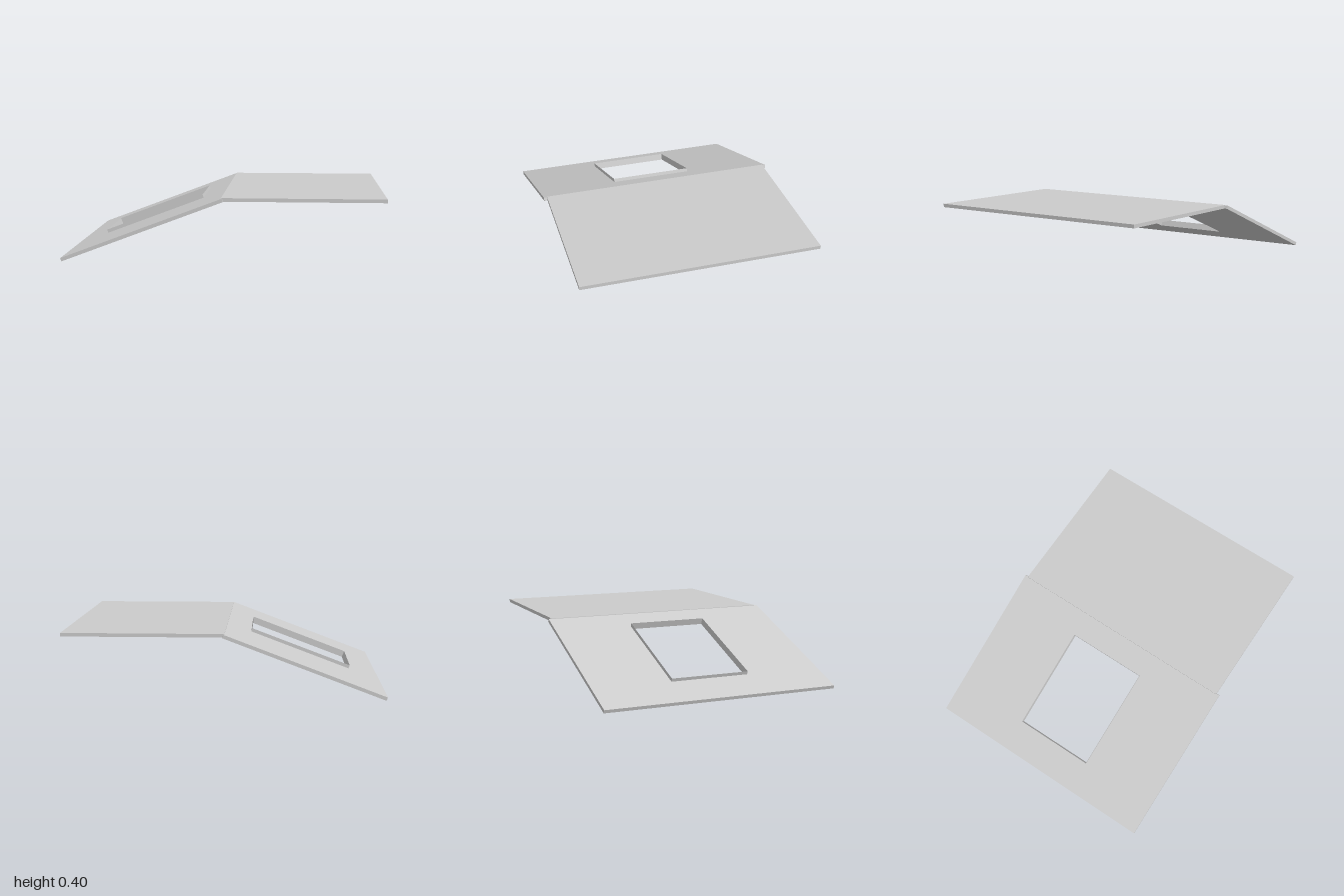
import * as THREE from 'three';

export function createModel() {
  const model = new THREE.Group();
  const mat = new THREE.MeshStandardMaterial({ color: 0xcccccc, flatShading: true });
  const thinMat = new THREE.MeshStandardMaterial({ color: 0xcccccc, flatShading: true, side: THREE.DoubleSide });
  const thick = 0.022;
  const add = (parent, name, geometry, material, x, y, z) => {
    const mesh = new THREE.Mesh(geometry, material);
    mesh.name = name;
    mesh.position.set(x, y, z);
    parent.add(mesh);
    return mesh;
  };

  // Level panel
  add(model, 'flatPanel', new THREE.BoxGeometry(1.005, thick, 1.504), mat, 0.4975, 0.389, 0);

  // Sloped panel, built flat from its lower edge and then tilted
  const slope = new THREE.Group();
  slope.name = 'slopedSection';
  slope.position.set(-0.992, 0, 0);
  slope.rotation.z = Math.atan(0.378);
  model.add(slope);

  const length = 1.069, halfWidth = 0.773;
  const s0 = 0.217, s1 = 0.9, halfHole = 0.26;
  const rect = (P, a, b, h) => {
    const p = new P();
    p.moveTo(a, -h); p.lineTo(b, -h); p.lineTo(b, h); p.lineTo(a, h); p.closePath();
    return p;
  };
  const shape = rect(THREE.Shape, 0, length, halfWidth);
  shape.holes.push(rect(THREE.Path, s0, s1, halfHole));
  const slab = new THREE.ExtrudeGeometry(shape, { depth: thick, bevelEnabled: false });
  slab.rotateX(-Math.PI / 2);
  add(slope, 'slopedPanel', slab, mat, 0, 0, 0);

  // Thin raised rim around the opening
  const rimHeight = thick;
  const rimY = thick + rimHeight / 2;
  for (const side of [-1, 1]) {
    add(slope, 'openingRimSide', new THREE.PlaneGeometry(s1 - s0, rimHeight), thinMat,
      (s0 + s1) / 2, rimY, side * halfHole);
    const end = add(slope, 'openingRimEnd', new THREE.PlaneGeometry(2 * halfHole, rimHeight), thinMat,
      side < 0 ? s0 : s1, rimY, 0);
    end.rotation.y = Math.PI / 2;
  }
  return model;
}
